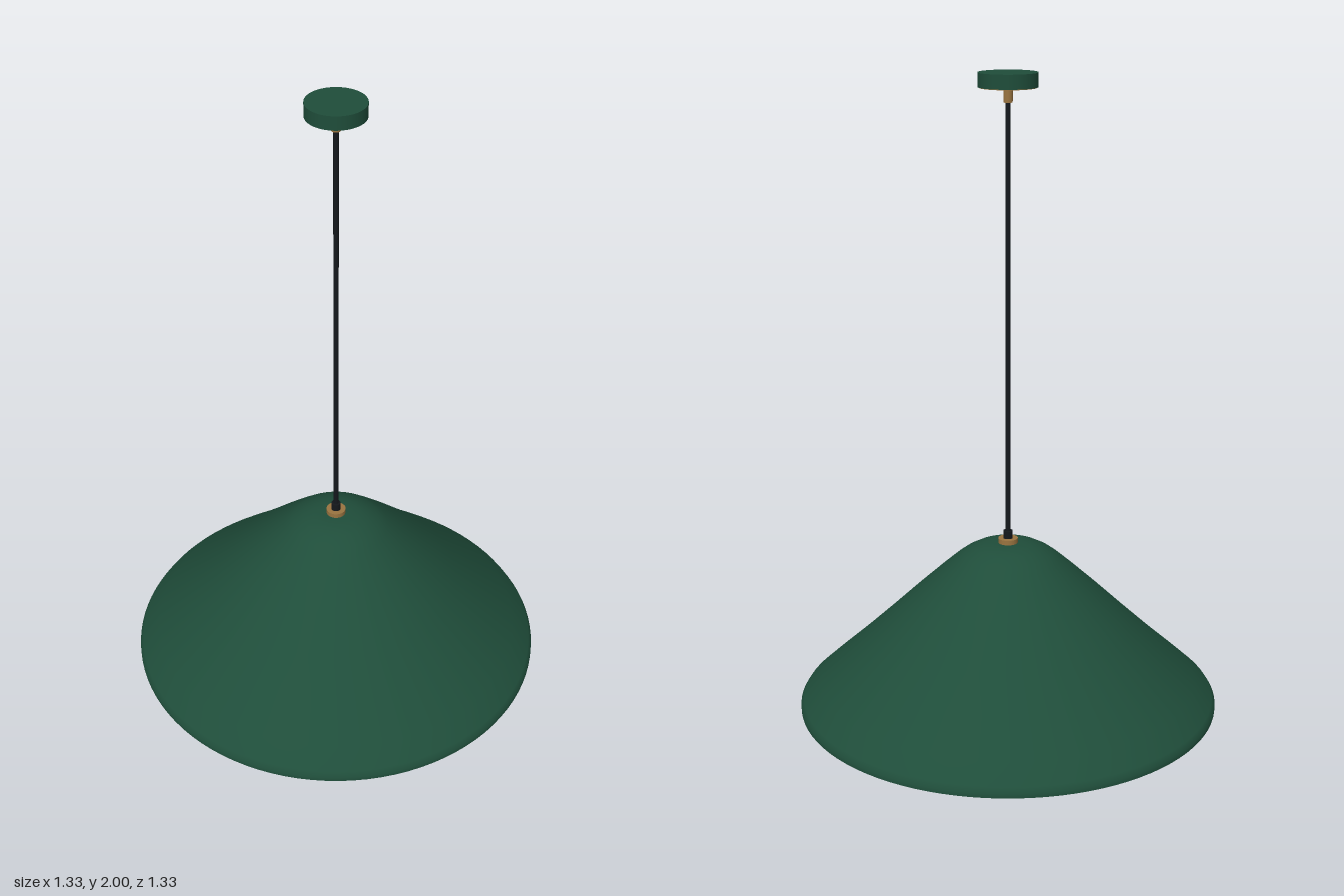
import * as THREE from 'three';

const mat = (color) => new THREE.MeshStandardMaterial({ color });

export function createModel() {
  const model = new THREE.Group();
  const green = mat(0x1f4d3a), cream = mat(0xe6e2d3), brass = mat(0x9a7440);
  const black = mat(0x14181c), steel = mat(0x8c8c90), glass = mat(0xf2eedc);

  const add = (name, geometry, material) => {
    const mesh = new THREE.Mesh(geometry, material);
    mesh.name = name;
    model.add(mesh);
    return mesh;
  };
  const lathe = (name, pts, material, segments = 64) =>
    add(name, new THREE.LatheGeometry(pts.map(([x, y]) => new THREE.Vector2(x, y)), segments), material);
  // Upright cylinder between two heights
  const rod = (name, r, y0, y1, material, segments = 32) => {
    const mesh = add(name, new THREE.CylinderGeometry(r, r, y1 - y0, segments), material);
    mesh.position.y = (y0 + y1) / 2;
    return mesh;
  };

  // Shade: green outside, cream lining, brass rim edge
  const profile = [
    [0.666, 0], [0.666, 0.014], [0.656, 0.03], [0.6, 0.082], [0.5, 0.172], [0.4, 0.266],
    [0.3, 0.362], [0.22, 0.436], [0.168, 0.482], [0.14, 0.503], [0.105, 0.522],
    [0.075, 0.531], [0.045, 0.535], [0, 0.535],
  ];
  const t = 0.01;
  const lining = profile.map(([x, y]) => [Math.max(x - t, 0), Math.max(y - t * 0.6, 0)]).reverse();
  lathe('shadeOuter', profile, green, 96);
  lathe('shadeLining', lining, cream, 96);
  lathe('shadeRim', [[0.666 - t, 0], [0.666, 0]], brass, 96);

  // Fitting on top of the shade
  rod('shadeWasher', 0.031, 0.532, 0.55, brass);
  rod('cordGrip', 0.015, 0.55, 0.574, black);

  // Cord and ceiling canopy
  rod('cord', 0.008, 0.57, 1.92, black, 16);
  rod('cordFerrule', 0.014, 1.912, 1.96, brass);
  rod('canopy', 0.09, 1.957, 2, green, 64);
  rod('canopyBase', 0.086, 1.955, 1.96, brass, 64);

  // Lamp holder and threaded bulb cap
  rod('socket', 0.041, 0.33, 0.53, steel);
  const thread = [[0, 0.265], [0.027, 0.265]];
  for (let i = 0; i <= 16; i++) thread.push([0.03 + (i % 2) * 0.003, 0.267 + i * 0.0042]);
  lathe('bulbCap', thread, steel, 32);

  // Pear-shaped bulb: round bottom tapering to the neck
  const bulb = [];
  for (let i = 0; i <= 14; i++) {
    const a = -Math.PI / 2 + (i / 14) * (Math.PI / 2 + 0.35);
    bulb.push([0.083 * Math.cos(a), 0.12 + 0.083 * Math.sin(a)]);
  }
  bulb[0][0] = 0;
  bulb.push([0.067, 0.175], [0.052, 0.205], [0.039, 0.235], [0.032, 0.255], [0.029, 0.27]);
  lathe('bulb', bulb, glass, 48);

  return model;
}
